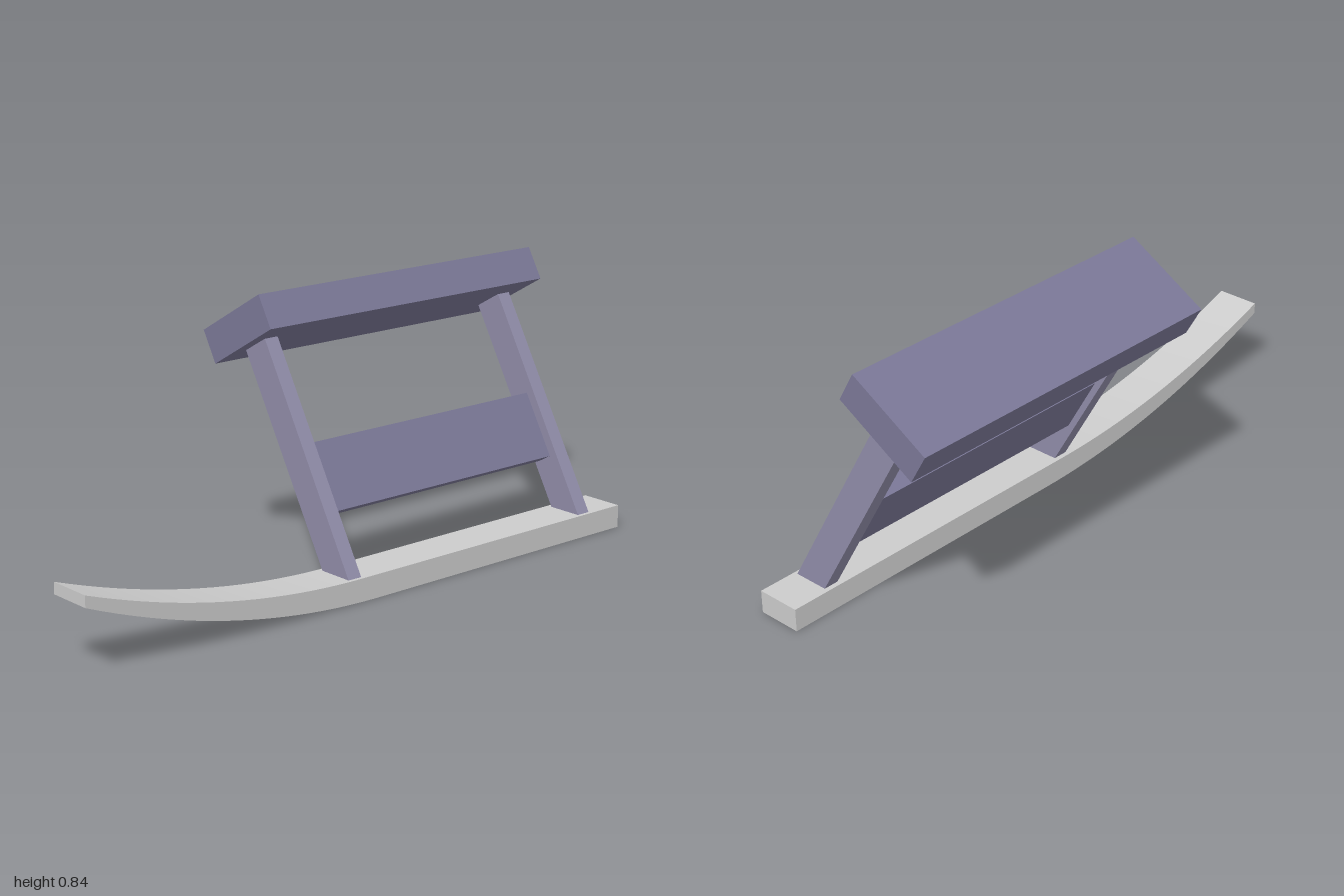
import * as THREE from 'three';
import { toCreasedNormals } from 'three/addons/utils/BufferGeometryUtils.js';

const grey = new THREE.MeshStandardMaterial({ color: 0xcccccc });
const seatPurple = new THREE.MeshStandardMaterial({ color: 0x7b7897 });
const legPurple = new THREE.MeshStandardMaterial({ color: 0x908ca8 });
const TILT = Math.PI / 6;

export function createModel() {
  const group = new THREE.Group();
  const add = (name, geometry, material) => {
    const mesh = new THREE.Mesh(geometry, material);
    mesh.name = name;
    group.add(mesh);
    return mesh;
  };
  const tiltedBox = (name, material, size, position) => {
    const mesh = add(name, new THREE.BoxGeometry(...size), material);
    mesh.position.set(...position);
    mesh.rotation.z = TILT;
  };

  // Runner: side profile in (z, y), sweeping up and thinning toward the front
  const profile = new THREE.Shape();
  profile.moveTo(-1, 0);
  profile.lineTo(0, 0);
  profile.quadraticCurveTo(0.5, 0, 1, 0.203);
  profile.lineTo(1, 0.237);
  profile.quadraticCurveTo(0.53, 0.07, 0.06, 0.07);
  profile.lineTo(-1, 0.07);
  profile.closePath();
  const runner = new THREE.ExtrudeGeometry(profile, { depth: 0.138, bevelEnabled: false, curveSegments: 20 });
  runner.rotateY(-Math.PI / 2).translate(0.295, 0, 0);
  add('runner', toCreasedNormals(runner, 0.4), grey);

  // Leaning legs, cut level where they meet the runner
  const legShape = new THREE.Shape([
    new THREE.Vector2(0.173, 0.069),
    new THREE.Vector2(0.284, 0.069),
    new THREE.Vector2(-0.078, 0.698),
    new THREE.Vector2(-0.163, 0.65),
  ]);
  for (const [name, z] of [['frontLeg', 0.055], ['backLeg', -0.878]]) {
    const leg = new THREE.ExtrudeGeometry(legShape, { depth: 0.047, bevelEnabled: false });
    add(name, leg.translate(0, 0, z), legPurple);
  }

  // Brace between the legs and the seat plank across their tops
  tiltedBox('brace', seatPurple, [0.05, 0.208, 0.89], [0.086, 0.3075, -0.388]);
  tiltedBox('seat', seatPurple, [0.289, 0.105, 1.08], [-0.1455, 0.72, -0.39]);

  return group;
}
